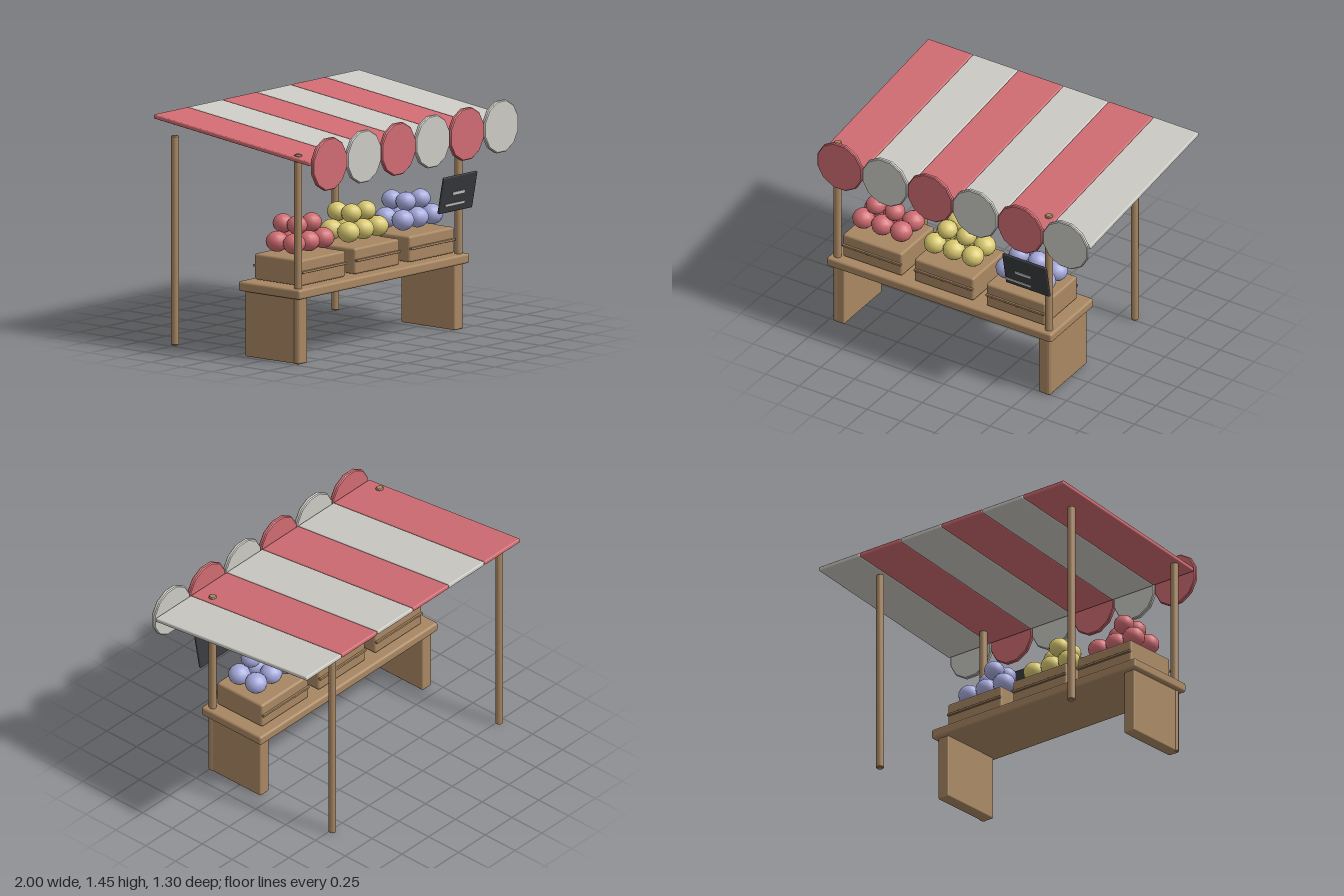
import * as THREE from 'three';
import { RoundedBoxGeometry } from 'three/addons/geometries/RoundedBoxGeometry.js';
import { toCreasedNormals } from 'three/addons/utils/BufferGeometryUtils.js';

const mat = (name, color) => new THREE.MeshStandardMaterial({ name, color });

export function createModel() {
  const group = new THREE.Group();
  group.name = 'marketStall';
  const wood = mat('wood', 0xa88762);
  const red = mat('red', 0xd06c72);
  const offWhite = mat('offWhite', 0xcbcac4);
  const yellow = mat('yellow', 0xd9c970);
  const lilac = mat('lilac', 0xa6aadc);
  const slate = mat('slate', 0x38393d);

  function add(name, geometry, material, x, y, z, parent = group) {
    const mesh = new THREE.Mesh(geometry, material);
    mesh.name = name;
    mesh.position.set(x, y, z);
    parent.add(mesh);
    return mesh;
  }
  const box = (w, h, d, r = 0.01) => new RoundedBoxGeometry(w, h, d, 2, r);

  // Solid of revolution with chamfered rims, centred on the origin along y
  function chamferedCylinder(radius, height, bevel, sides, turn = 0) {
    const h = height / 2;
    const profile = [[0, -h], [radius - bevel, -h], [radius, -h + bevel],
      [radius, h - bevel], [radius - bevel, h], [0, h]].map(p => new THREE.Vector2(...p));
    return toCreasedNormals(new THREE.LatheGeometry(profile, sides, turn), 0.6);
  }

  // Posts
  const postGeometry = chamferedCylinder(0.025, 1.33, 0.006, 14);
  for (const x of [-0.95, 0.61]) {
    add('frontPost', postGeometry, wood, x, 0.665, 0.487);
    add('backPost', postGeometry, wood, x, 0.665, -0.515);
  }

  // Counter and its panel legs
  add('counter', box(1.66, 0.063, 0.5, 0.015), wood, -0.17, 0.447, 0.29);
  for (const x of [-0.928, 0.588]) add('panelLeg', box(0.083, 0.42, 0.44), wood, x, 0.21, 0.29);

  // Crates with slats, each holding a heap of fruit: [x, y, z, radius]
  const heap = [];
  for (const x of [-0.14, 0, 0.14]) {
    for (const z of [0.07, -0.07]) heap.push([x, 0.73, z, 0.071]);
  }
  heap.push([-0.07, 0.835, 0.035, 0.065], [0.07, 0.835, 0.035, 0.065], [-0.07, 0.835, -0.08, 0.065]);
  const fruitGeometry = new THREE.SphereGeometry(1, 14, 10);
  [[-0.698, red], [-0.17, yellow], [0.36, lilac]].forEach(([cx, colour]) => {
    const stack = new THREE.Group();
    stack.name = 'fruitCrate';
    stack.position.set(cx, 0, 0.292);
    group.add(stack);
    add('crate', box(0.437, 0.166, 0.38, 0.015), wood, 0, 0.567, 0, stack);
    for (const side of [-1, 1]) {
      add('crateSlat', box(0.43, 0.015, 0.018, 0.003), wood, 0, 0.572, side * 0.194, stack);
    }
    for (const [x, y, z, r] of heap) {
      add('fruit', fruitGeometry, colour, x, y, z, stack).scale.set(r, r * 0.92, r);
    }
  });

  // Sloping striped awning with a scallop disc at the front of each stripe
  const stripeGeometry = box(0.331, 0.028, 1.275, 0.008);
  const discGeometry = chamferedCylinder(0.17, 0.028, 0.006, 12, Math.PI / 12);
  for (let i = 0; i < 6; i++) {
    const x = -1 + (i + 0.5) / 3;
    const colour = i % 2 ? offWhite : red;
    add('awningStripe', stripeGeometry, colour, x, 1.365, -0.016).rotation.x = 0.12;
    add('awningScallop', discGeometry, colour, x, 1.27, 0.639).rotation.x = Math.PI / 2;
  }

  // Price board tilted forward, with two chalk strokes
  add('priceBoard', box(0.325, 0.24, 0.018, 0.007), slate, 0.498, 0.89, 0.572).rotation.x = 0.19;
  const strokes = [[0.485, 0.895, 0.594, 0.12, 0.022], [0.45, 0.828, 0.592, 0.19, 0.018]];
  for (const [x, y, z, w, h] of strokes) {
    add('chalkStroke', new THREE.BoxGeometry(w, h, 0.006), offWhite, x, y, z).rotation.x = 0.19;
  }

  return group;
}
